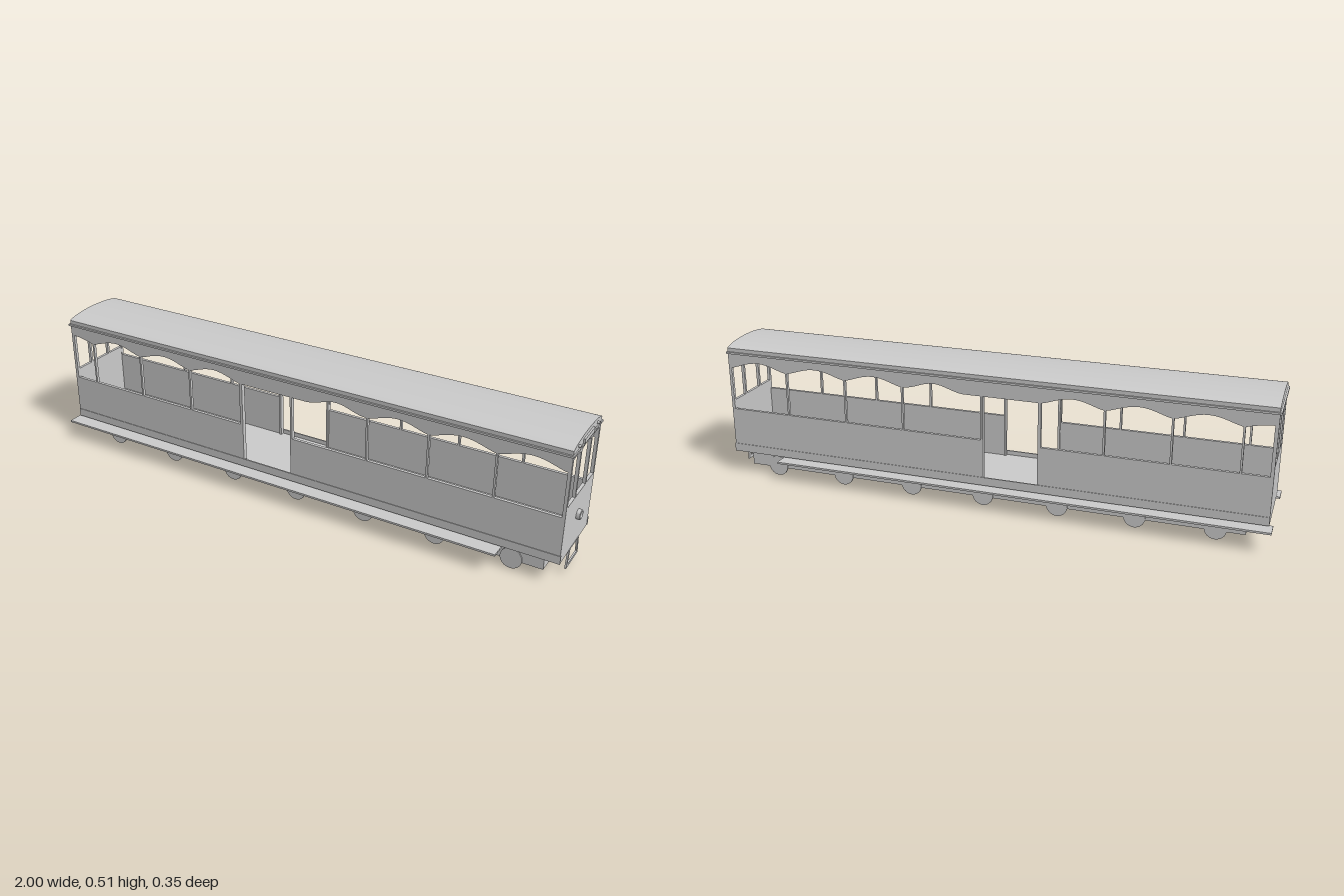
import * as THREE from 'three';
import { toCreasedNormals } from 'three/addons/utils/BufferGeometryUtils.js';

const mat = new THREE.MeshStandardMaterial({ color: 0xcccccc, side: THREE.DoubleSide });
const X0 = -0.988, X1 = 0.986, MID = (X0 + X1) / 2, LEN = X1 - X0;
const HALF = 0.134, WALL = 0.011;

function add(parent, name, geometry, x = 0, y = 0, z = 0) {
  const mesh = new THREE.Mesh(geometry, mat);
  mesh.name = name;
  mesh.position.set(x, y, z);
  parent.add(mesh);
  return mesh;
}

// Box given by its limits on each axis
function box(parent, name, [x0, x1], [y0, y1], [z0, z1]) {
  return add(parent, name, new THREE.BoxGeometry(x1 - x0, y1 - y0, z1 - z0),
    (x0 + x1) / 2, (y0 + y1) / 2, (z0 + z1) / 2);
}

function polygon(points, Type = THREE.Shape) {
  return new Type(points.map(([x, y]) => new THREE.Vector2(x, y)));
}

const rect = (a, b, c, d) => [[a, c], [b, c], [b, d], [a, d]];

// Window opening whose head follows rise(t), t running from 0 to 1
function windowHole(a, b, sill, rise, steps = 14) {
  const pts = [[a, sill], [b, sill]];
  for (let i = steps; i >= 0; i--) pts.push([a + (b - a) * i / steps, rise(i / steps)]);
  return polygon(pts, THREE.Path);
}

function extrude(shape, depth) {
  return new THREE.ExtrudeGeometry(shape, { depth, bevelEnabled: false, curveSegments: 24 });
}

// Long wall with arched windows and a doorway
function sideWallGeometry() {
  const wall = polygon(rect(X0, X1, 0.085, 0.472));
  const arch = t => 0.415 + 0.026 * Math.pow(Math.sin(Math.PI * t), 1.3);
  const halfArch = t => 0.415 + 0.015 * Math.cos(Math.PI * t / 2);
  const wideArch = t => 0.415 + (t < 0.2 ? 0 : 0.026 * Math.pow(Math.sin(Math.PI * (t - 0.2) / 0.8), 2));
  wall.holes.push(windowHole(-0.976, -0.887, 0.255, halfArch));
  const plain = [[-0.88, -0.661], [-0.654, -0.436], [-0.429, -0.215],
    [0.297, 0.513], [0.52, 0.746], [0.753, 0.976]];
  for (const [a, b] of plain) wall.holes.push(windowHole(a, b, 0.255, arch));
  wall.holes.push(windowHole(0.002, 0.29, 0.255, wideArch));
  wall.holes.push(polygon(rect(-0.204, -0.005, 0.1, 0.415), THREE.Path));
  return extrude(wall, WALL);
}

// End wall with three windows
function endWallGeometry() {
  const w = HALF - 0.0005;
  const wall = polygon(rect(-w, w, 0.085, 0.472));
  wall.holes.push(windowHole(-0.045, 0.045, 0.288, t => 0.454 + 0.007 * Math.sin(Math.PI * t)));
  const outer = t => 0.452 + 0.006 * Math.sin(Math.PI * (0.15 + 0.85 * t));
  wall.holes.push(windowHole(0.054, 0.123, 0.288, t => outer(1 - t)));
  wall.holes.push(windowHole(-0.123, -0.054, 0.288, outer));
  return extrude(wall, WALL).rotateY(Math.PI / 2);
}

// Shallow vaulted roof
function roofGeometry() {
  const s = new THREE.Shape();
  s.moveTo(-HALF, 0.474);
  s.lineTo(HALF, 0.474);
  s.lineTo(HALF, 0.49);
  s.bezierCurveTo(0.115, 0.502, 0.05, 0.508, 0, 0.508);
  s.bezierCurveTo(-0.05, 0.508, -0.115, 0.502, -HALF, 0.49);
  s.closePath();
  return toCreasedNormals(extrude(s, LEN).rotateY(Math.PI / 2), 0.5);
}

export function createModel() {
  const model = new THREE.Group();
  model.name = 'tramCar';
  const body = new THREE.Group();
  body.name = 'carBody';
  body.position.z = -0.004;
  model.add(body);

  // Walls
  const side = sideWallGeometry(), end = endWallGeometry();
  add(body, 'leftSideWall', side, 0, 0, HALF - WALL);
  add(body, 'rightSideWall', side, 0, 0, -HALF);
  add(body, 'frontEndWall', end, X1 - WALL, 0, 0);
  add(body, 'rearEndWall', end, X0, 0, 0);
  box(body, 'floor', [X0 + 0.005, X1 - 0.005], [0.086, 0.1], [-HALF + 0.002, HALF - 0.002]);

  // Roof, eaves and underframe
  add(body, 'roof', roofGeometry(), X0, 0, 0);
  box(body, 'eaves', [X0 - 0.006, X1 + 0.004], [0.469, 0.476], [-0.14, 0.14]);
  box(body, 'underframe', [-0.915, 0.93], [0.03, 0.086], [-0.11, 0.11]);

  const wheel = toCreasedNormals(new THREE.CylinderGeometry(0.038, 0.038, 0.006, 32).rotateX(Math.PI / 2), 0.6);
  for (const s of [-1, 1]) {
    // Base strips, door jambs and wheels on both sides
    const span = (a, b) => (s > 0 ? [a, b] : [-b, -a]);
    box(body, 'baseStrip', [X0, X1 + 0.002], [0.086, 0.116], span(HALF - 0.003, HALF + 0.002));
    for (const x of [-0.208, -0.003])
      box(body, 'doorJamb', [x - 0.004, x + 0.004], [0.1, 0.417], span(0.117, HALF - 0.002));
    for (let i = 0; i < 7; i++)
      add(body, 'wheel', wheel, -0.816 + i * 0.2728, 0.038, s * 0.111);
    // Running boards
    box(model, 'runningBoard', [-1, 0.79], [0.072, 0.079], s > 0 ? [0.119, 0.176] : [-0.176, -0.119]);
  }

  // Headlight
  const light = new THREE.Group();
  light.name = 'headlight';
  light.position.set(X1, 0.2, 0);
  body.add(light);
  const drum = (r, h) => toCreasedNormals(new THREE.CylinderGeometry(r, r, h, 32).rotateZ(Math.PI / 2), 0.6);
  add(light, 'headlightLens', drum(0.013, 0.008), 0.004);
  const rim = [[0.014, 0], [0.0175, 0], [0.0175, 0.012], [0.014, 0.014], [0.014, 0]];
  const rimShape = new THREE.LatheGeometry(rim.map(([r, y]) => new THREE.Vector2(r, y)), 32);
  add(light, 'headlightRim', toCreasedNormals(rimShape.rotateZ(-Math.PI / 2), 0.6));

  // Destination panel and marker lamps
  box(body, 'destinationPanel', [X1 - 0.002, X1 + 0.006], [0.476, 0.493], [-0.047, 0.047]);
  for (const s of [-1, 1]) add(body, 'markerLamp', drum(0.005, 0.01), X1 + 0.003, 0.488, s * 0.089);

  // Hanging guard frame under the front end
  const guard = polygon([[-0.057, 0.022], [0.057, 0.022], [0.047, 0.088], [-0.047, 0.088]]);
  guard.holes.push(polygon([[-0.045, 0.033], [0.045, 0.033], [0.036, 0.087], [-0.036, 0.087]], THREE.Path));
  add(body, 'guardFrame', extrude(guard, 0.006).rotateY(Math.PI / 2), X1 - 0.004);

  return model;
}
